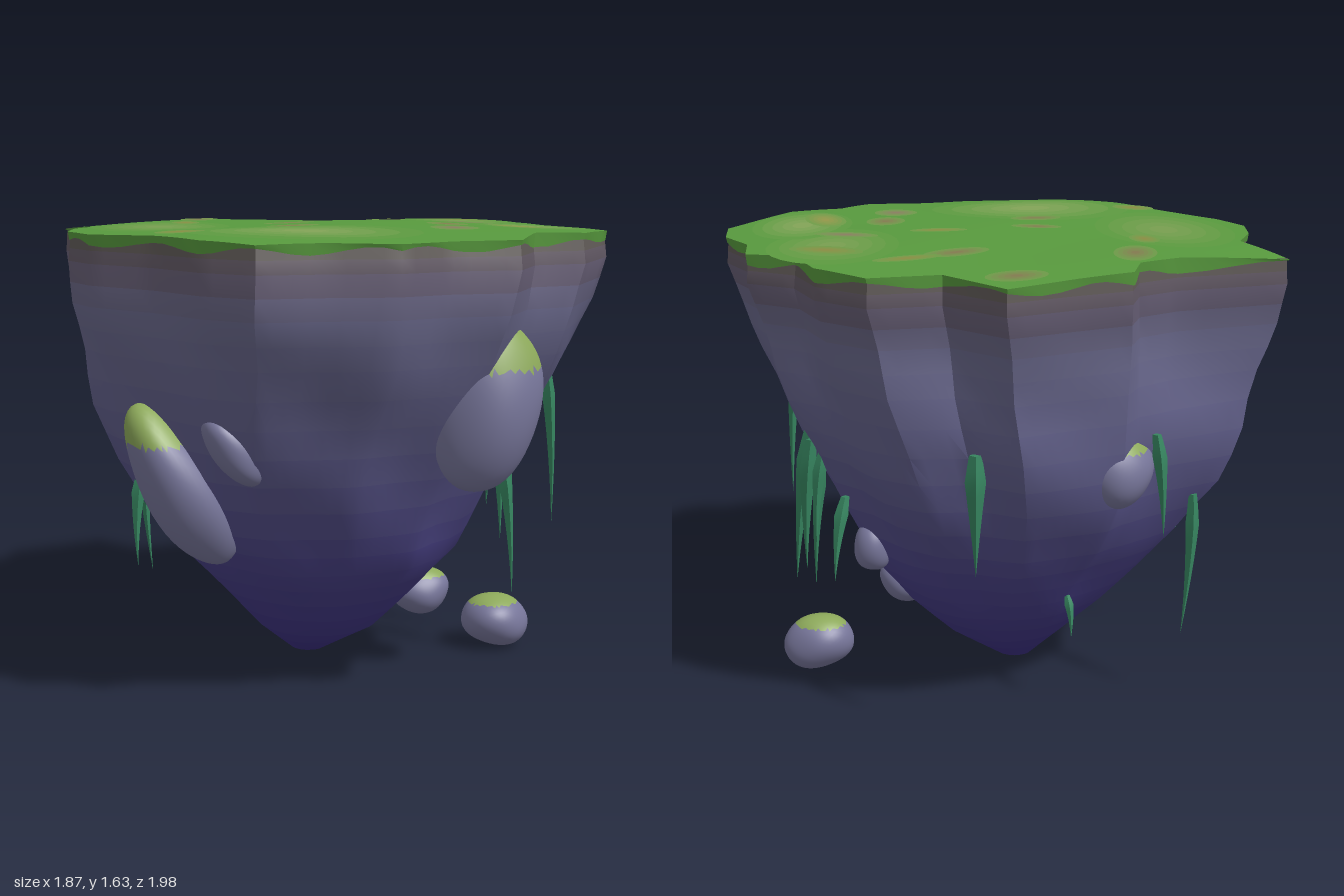
import * as THREE from 'three';
import { mergeVertices, toCreasedNormals } from 'three/addons/utils/BufferGeometryUtils.js';

const paint = (color) => new THREE.MeshStandardMaterial({ color });
const GRASS = 0x589a3e, MOSS = 0x8ca85a;

// Ragged rim of the island as [x, z], running from the front round by +x
const RIM = [
  [0.02, 0.98], [0.2, 0.9], [0.42, 0.88], [0.53, 0.66], [0.72, 0.61], [0.93, 0.24], [0.92, 0.03],
  [0.83, -0.17], [0.82, -0.38], [0.66, -0.48], [0.59, -0.69], [0.43, -0.84], [0.2, -0.8], [0.02, -1],
  [-0.2, -0.9], [-0.38, -0.83], [-0.42, -0.7], [-0.56, -0.61], [-0.94, -0.52], [-0.84, -0.24],
  [-0.91, -0.07], [-0.94, 0.13], [-0.88, 0.32], [-0.69, 0.57], [-0.57, 0.82], [-0.42, 0.98], [-0.2, 0.96],
];

// Cliff levels: height, scale, centre x, centre z, roundness
const LEVELS = [
  [1.585, 0.99, 0, 0, 0], [1.5, 1, 0, 0.005, 0.02], [1.36, 0.975, -0.02, 0.03, 0.12], [1.2, 0.935, -0.03, 0.01, 0.28],
  [1, 0.87, -0.06, -0.03, 0.4], [0.8, 0.78, -0.08, -0.04, 0.5], [0.6, 0.66, -0.075, -0.03, 0.65],
  [0.45, 0.555, -0.05, -0.02, 0.75], [0.3, 0.41, -0.05, -0.04, 0.85], [0.15, 0.245, -0.06, -0.03, 0.9],
  [0.04, 0.07, -0.09, -0.06, 1], [0.04, 0, -0.09, -0.06, 1],
];

// Rim with every edge split in four
const SPLIT = 4;
const rim = RIM.flatMap(([x, z], i) => {
  const [nx, nz] = RIM[(i + 1) % RIM.length];
  return Array.from({ length: SPLIT }, (_, k) => {
    const t = k / SPLIT;
    return new THREE.Vector2(x + (nx - x) * t, z + (nz - z) * t);
  });
});

const turfHeight = (x, z) =>
  1.612 - 0.022 * (x * x + z * z) ** 2 + 0.007 * Math.sin(5 * x + 1) * Math.cos(4 * z);

// Skin closed rings of equal length, listed from the top down or the centre out
function loft(rings) {
  const n = rings[0].length, index = [];
  for (let r = 0; r + 1 < rings.length; r++) {
    for (let c = 0; c < n; c++) {
      const a = r * n + c, e = r * n + ((c + 1) % n);
      index.push(a, a + n, e + n, a, e + n, e);
    }
  }
  const geo = new THREE.BufferGeometry().setFromPoints(rings.flat());
  geo.setIndex(index);
  return geo;
}

// Copy chosen triangles of a non-indexed geometry, keeping their normals
function pick(geo, test) {
  const out = { position: [], normal: [] };
  for (let t = 0; t < geo.attributes.position.count / 3; t++) {
    if (!test(t)) continue;
    for (const key in out) {
      const src = geo.attributes[key].array;
      for (let k = 0; k < 9; k++) out[key].push(src[t * 9 + k]);
    }
  }
  const part = new THREE.BufferGeometry();
  for (const key in out) part.setAttribute(key, new THREE.Float32BufferAttribute(out[key], 3));
  return part;
}

function add(parent, name, geo, color) {
  const mesh = new THREE.Mesh(geo, paint(color));
  mesh.name = name;
  parent.add(mesh);
}

// Rock cliff, coloured in bands from earthy rim to deep violet tip
function makeCliff() {
  const group = new THREE.Group();
  group.name = 'cliff';
  const levels = LEVELS.flatMap((l, i) => (i + 1 < LEVELS.length
    ? [l, l.map((v, k) => (v + LEVELS[i + 1][k]) / 2)] : [l]));
  const rings = levels.map(([y, s, cx, cz, round]) => rim.map((p) => {
    const a = Math.atan2(p.x, p.y);
    const rough = 1 + 0.02 * Math.sin(5 * a + 6 * y) * Math.sin(7 * y + 2 * a) * Math.min(1, round * 3);
    const r = s * rough * THREE.MathUtils.lerp(p.length(), 0.89, round);
    return new THREE.Vector3(cx + r * Math.sin(a), y, cz + r * Math.cos(a));
  }));
  const geo = toCreasedNormals(loft(rings), 0.6);
  const stops = [[1.6, 0x5d5a48], [1.5, 0x655a6c], [1.36, 0x6b6a8c], [0.95, 0x615f8c], [0.5, 0x4a4287], [0, 0x382b80]];
  const shade = (y) => {
    const i = Math.max(1, stops.findIndex((s) => s[0] <= y));
    const [y0, c0] = stops[i - 1], [y1, c1] = stops[i];
    return new THREE.Color(c0).lerp(new THREE.Color(c1), (y0 - y) / (y0 - y1));
  };
  for (let r = 0; r + 1 < rings.length; r++) {
    const band = pick(geo, (t) => Math.floor(t / (2 * rim.length)) === r);
    add(group, 'rockBand', band, shade((levels[r][0] + levels[r + 1][0]) / 2));
  }
  return group;
}

// Gently uneven turf with a thin lip hanging over the cliff
function makeTurf() {
  const group = new THREE.Group();
  group.name = 'turf';
  const rings = [0, 0.15, 0.3, 0.45, 0.6, 0.75, 0.88, 1].map((s) =>
    rim.map((p) => new THREE.Vector3(p.x * s, turfHeight(p.x * s, p.y * s), p.y * s)));
  rings.push(rim.map((p, i) => new THREE.Vector3(p.x * 0.995, 1.567 + 0.012 * Math.sin(i * 0.9), p.y * 0.995)));
  add(group, 'grass', toCreasedNormals(loft(rings), 0.6), GRASS);

  // Patches fading into the grass: x, z, half width, half depth, turn, colour
  const patches = [
    [-0.2, 0.56, 0.38, 0.34, 0, 0x87a65a], [-0.62, 0, 0.24, 0.42, 0, 0x7ca052],
    [0.54, -0.3, 0.22, 0.36, 0, 0x7ca052], [0.66, 0.2, 0.18, 0.33, 0, 0x87a65a],
    [-0.43, -0.54, 0.07, 0.15, -0.2, 0x857650], [0.14, -0.48, 0.12, 0.06, 0.5, 0x857650],
    [0.3, -0.57, 0.12, 0.04, 0.4, 0x8e8a42], [0.56, -0.4, 0.14, 0.07, -0.6, 0x8e8a42],
    [0.5, -0.08, 0.13, 0.05, -0.6, 0x8c7862], [0.58, 0.3, 0.07, 0.18, 0.2, 0x98974a],
    [0.36, 0.2, 0.07, 0.11, 0, 0x857650], [0.32, 0.45, 0.08, 0.11, 0, 0x8c7862],
    [-0.19, 0.25, 0.1, 0.06, 0.4, 0x857650], [-0.17, 0.03, 0.09, 0.05, 0, 0x857650],
    [0.18, -0.07, 0.1, 0.04, 0, 0x8e8a42], [-0.51, -0.24, 0.05, 0.1, 0, 0x8e8a42],
    [-0.6, 0.55, 0.08, 0.08, 0, 0x8e8a42], [-0.02, -0.86, 0.1, 0.07, 0.3, 0x857650],
  ];
  const FADE = 5;
  patches.forEach(([x, z, w, d, turn, color], i) => {
    for (let f = 0; f < FADE; f++) {
      const geo = new THREE.RingGeometry(f / FADE, (f + 1) / FADE, 24, 1).rotateX(-Math.PI / 2);
      geo.scale(w, 1, d).rotateY(turn).translate(x, 0, z);
      const p = geo.attributes.position;
      for (let k = 0; k < p.count; k++) p.setY(k, turfHeight(p.getX(k), p.getZ(k)) + 0.003 + i * 0.0002);
      const tint = new THREE.Color(color).lerp(new THREE.Color(i < 4 ? GRASS : 0x6b9d48), (f + 0.5) / FADE);
      add(group, 'grassPatch', geo, tint);
    }
  });
  return group;
}

// Lumpy boulder with a mossy cap over everything above capAt (share of its height)
function makeBoulder([name, centre, radii, tilt, capAt], seed) {
  const group = new THREE.Group();
  group.name = name;
  let geo = new THREE.IcosahedronGeometry(1, 8);
  geo.deleteAttribute('normal');
  geo.deleteAttribute('uv');
  geo = mergeVertices(geo, 1e-4);
  const p = geo.attributes.position, v = new THREE.Vector3();
  for (let i = 0; i < p.count; i++) {
    v.fromBufferAttribute(p, i);
    v.multiplyScalar(1 + 0.06 * Math.sin(3 * v.x + seed) * Math.cos(2.5 * v.y + 2 * seed) + 0.03 * Math.sin(4 * v.z + seed));
    p.setXYZ(i, v.x, v.y, v.z);
  }
  geo.scale(...radii).rotateZ(tilt);
  geo.computeVertexNormals();
  geo.computeBoundingBox();
  const { min, max } = geo.boundingBox;
  const line = min.y + (max.y - min.y) * capAt;
  geo = geo.toNonIndexed();
  const isCap = (t) => {
    const q = geo.attributes.position;
    return (q.getY(3 * t) + q.getY(3 * t + 1) + q.getY(3 * t + 2)) / 3 > line;
  };
  add(group, 'stone', pick(geo, (t) => !isCap(t)), 0x77769a);
  if (capAt < 1) add(group, 'moss', pick(geo, isCap), MOSS);
  group.position.set(...centre);
  return group;
}

// Hanging leaf blade that bows outward and tapers to a point
function makeVine([from, to, width = 0.024]) {
  const a = new THREE.Vector3(...from), b = new THREE.Vector3(...to);
  const mid = a.clone().lerp(b, 0.4).add(new THREE.Vector3(a.x, 0, a.z).setLength(0.02));
  const curve = new THREE.QuadraticBezierCurve3(a, mid, b);
  const geo = new THREE.CylinderGeometry(1, 1, 1, 4, 8);
  const p = geo.attributes.position;
  for (let i = 0; i < p.count; i++) {
    const t = 0.5 - p.getY(i), c = curve.getPoint(t);
    const w = width * (t < 0.25 ? 0.6 + 1.6 * t : (1 - t) / 0.75);
    p.setXYZ(i, c.x + p.getX(i) * w, c.y, c.z + p.getZ(i) * w);
  }
  const mesh = new THREE.Mesh(toCreasedNormals(geo, 0.6), paint(0x36845f));
  mesh.name = 'hangingVine';
  return mesh;
}

export function createModel() {
  const island = new THREE.Group();
  island.name = 'floatingIsland';
  island.add(makeCliff(), makeTurf());

  // Embedded boulders and loose floating stones
  [
    ['frontBoulder', [0.37, 1.055, 0.665], [0.18, 0.285, 0.155], -0.22, 0.7],
    ['sideBoulder', [-0.59, 0.76, 0.39], [0.13, 0.3, 0.15], 0.48, 0.76],
    ['frontShard', [-0.44, 0.92, 0.63], [0.075, 0.145, 0.09], 0.75, 1],
    ['backBoulder', [-0.36, 0.92, -0.6], [0.14, 0.14, 0.14], 0.2, 0.74],
    ['floatingStone', [0.3, 0.28, 0.09], [0.105, 0.085, 0.1], 0.15, 0.82],
    ['floatingStone', [0.64, 0.1, -0.06], [0.13, 0.1, 0.11], -0.1, 0.85],
    ['smallStone', [0.43, 0.55, -0.29], [0.07, 0.092, 0.068], 0, 1],
  ].forEach((spec, i) => island.add(makeBoulder(spec, i * 1.7 + 0.5)));

  // Vines hanging from the cliff as [root, tip, width]
  [
    [[0.7, 1.15, 0.28], [0.735, 0.56, 0.29]],
    [[0.61, 0.76, 0.08], [0.65, 0.25, 0.11]],
    [[0.64, 0.94, -0.1], [0.71, 0.35, -0.08], 0.034],
    [[0.64, 0.9, -0.14], [0.67, 0.4, -0.12], 0.03],
    [[0.6, 0.86, -0.15], [0.63, 0.52, -0.18]],
    [[0.52, 0.76, -0.37], [0.56, 0.48, -0.45]],
    [[0.1, 1.02, -0.78], [0.1, 0.61, -0.78], 0.034],
    [[-0.67, 0.76, -0.43], [-0.64, 0.25, -0.45]],
    [[-0.71, 0.76, 0.1], [-0.73, 0.43, 0.14]],
    [[-0.49, 1.05, -0.69], [-0.52, 0.7, -0.7]],
    [[-0.24, 0.4, -0.43], [-0.25, 0.26, -0.48], 0.016],
  ].forEach((spec) => island.add(makeVine(spec)));
  return island;
}
